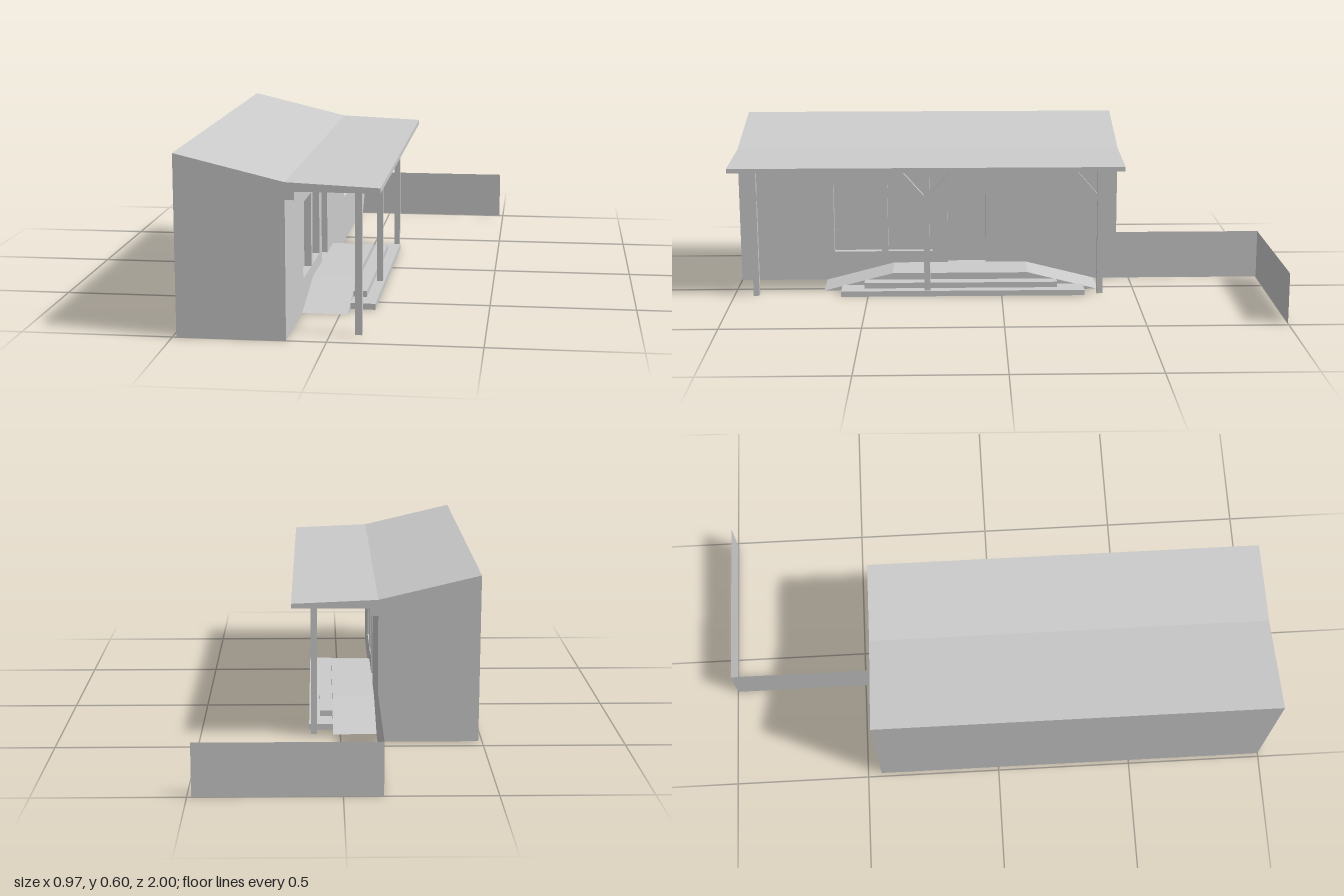
import * as THREE from 'three';

export function createModel() {
  const model = new THREE.Group();
  model.name = 'porchBuilding';
  const grey = new THREE.MeshStandardMaterial({ color: 0xcccccc, side: THREE.DoubleSide });
  grey.name = 'plain grey';

  const add = (name, geometry, parent = model) => {
    const mesh = new THREE.Mesh(geometry, grey);
    mesh.name = name;
    parent.add(mesh);
    return mesh;
  };
  const polygon = (points) => new THREE.Shape(points.map(([a, b]) => new THREE.Vector2(a, b)));
  const box = (name, x0, x1, y0, y1, z0, z1, parent) => {
    const geometry = new THREE.BoxGeometry(x1 - x0, y1 - y0, z1 - z0);
    geometry.translate((x0 + x1) / 2, (y0 + y1) / 2, (z0 + z1) / 2);
    return add(name, geometry, parent);
  };
  // extrude an (x, y) profile along z
  const alongZ = (shape, z0, z1) =>
    new THREE.ExtrudeGeometry(shape, { depth: z1 - z0, bevelEnabled: false }).translate(0, 0, z0);
  // extrude a (-z, y) profile along x
  const alongX = (shape, x0, x1) =>
    new THREE.ExtrudeGeometry(shape, { depth: x1 - x0, bevelEnabled: false })
      .rotateY(Math.PI / 2).translate(x0, 0, 0);

  const zBack = -0.45, zFront = 1, eaves = 0.485, wallX = -0.13, recess = 0.025;

  // main volume, behind the recessed openings
  box('buildingBody', -0.487, wallX - recess, 0, eaves, zBack, zFront);

  // porch wall with two windows and a door cut through it
  const wall = polygon([[-zFront, 0], [-zBack, 0], [-zBack, eaves], [-zFront, eaves]]);
  const openings = [[0.64, 0.457, 0.112], [0.433, 0.262, 0.112], [0.202, 0.057, 0.067]];
  for (const [zA, zB, sill] of openings) {
    wall.holes.push(polygon([[-zA, sill], [-zA, 0.375], [-zB, 0.375], [-zB, sill]]));
  }
  add('porchWall', alongX(wall, wallX - recess, wallX));

  // roof in two pitches, overhanging the porch
  add('roof', alongZ(polygon([
    [-0.487, eaves], [0.172, eaves], [0.172, 0.502], [wallX, 0.515], [-0.487, 0.6],
  ]), zBack, zFront));
  box('wallBeam', wallX, -0.1, 0.458, eaves, zBack, zFront);

  // deck with a ramp at each end, and steps along the front
  add('deckWithRamps', alongX(polygon([
    [-0.67, 0], [0.365, 0], [0.1, 0.067], [-0.41, 0.067],
  ]), wallX, 0.026));
  box('lowerStep', 0.026, 0.112, 0, 0.021, -0.31, 0.6);
  box('upperStep', 0.026, 0.073, 0.021, 0.042, -0.21, 0.515);

  // posts, with diagonal braces up to the roof
  const postX = 0.094, half = 0.011;
  const posts = [[0.915, [-1]], [0.278, [-1, 1]], [-0.367, [1]]];
  for (const [z, sides] of posts) {
    const post = new THREE.Group();
    post.name = 'porchPost';
    model.add(post);
    box('post', postX - half, postX + half, 0.005, eaves, z - half, z + half, post);
    for (const side of sides) {
      const near = -(z + side * 0.008), far = -(z + side * 0.12);
      const brace = polygon([
        [near, 0.358], [far, eaves], [far + side * 0.022, eaves], [near, 0.381],
      ]);
      add('brace', alongX(brace, postX - 0.008, postX + 0.008), post);
    }
  }

  // thin yard wall: one run off the building corner, one across the end
  const wallHeight = 0.183;
  add('yardWallSide', new THREE.PlaneGeometry(0.55, wallHeight)
    .rotateY(Math.PI / 2).translate(wallX, wallHeight / 2, zBack - 0.275));
  add('yardWallEnd', new THREE.PlaneGeometry(0.615, wallHeight)
    .translate(wallX + 0.3075, wallHeight / 2, -1));

  return model;
}
